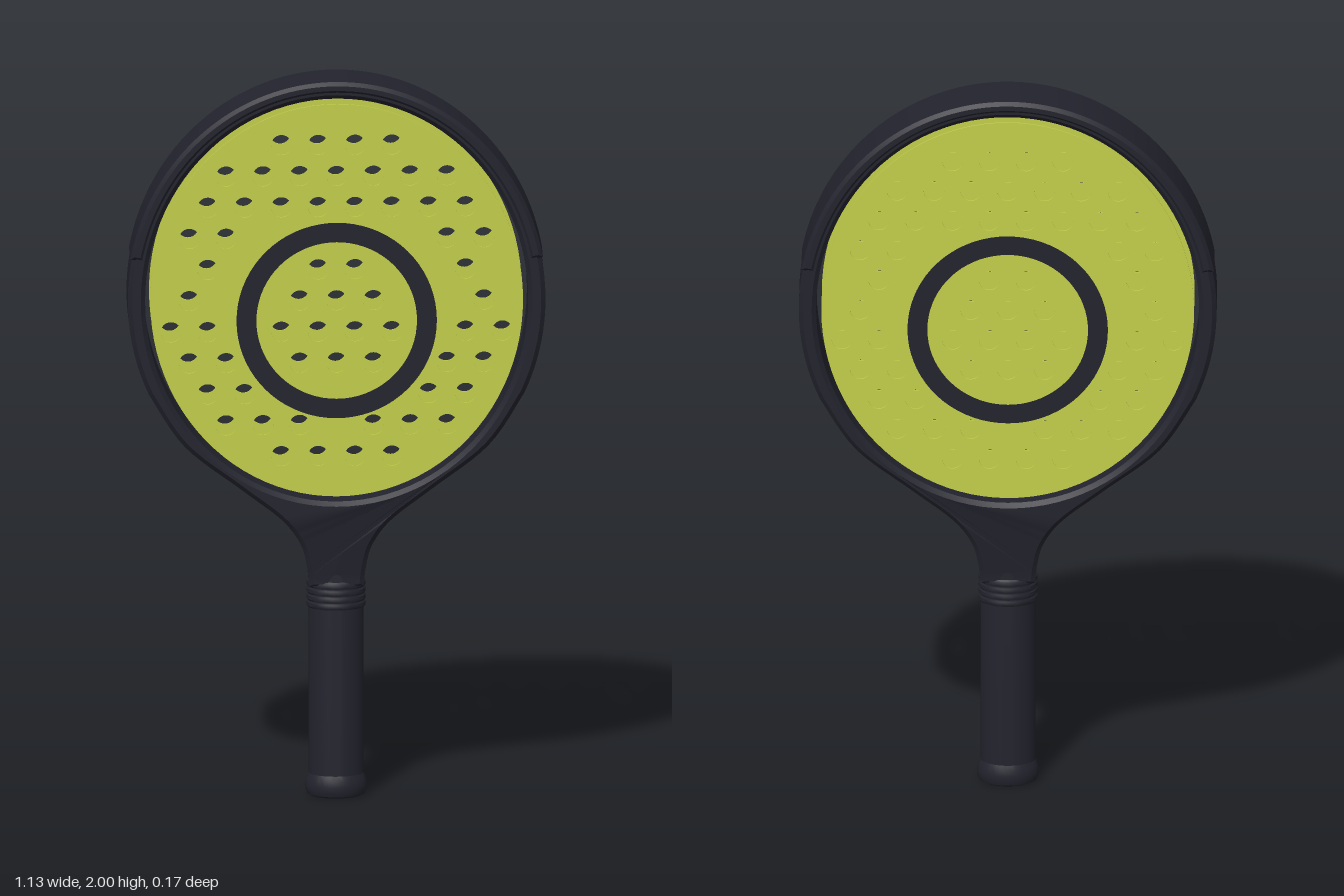
import * as THREE from 'three';
import { toCreasedNormals } from 'three/addons/utils/BufferGeometryUtils.js';

const CY = 1.391; // centre height of the head

export function createModel() {
  const dark = new THREE.MeshStandardMaterial({ color: 0x23232e });
  dark.name = 'charcoal';
  const lime = new THREE.MeshStandardMaterial({ color: 0xc3d04b });
  lime.name = 'lime';
  const white = new THREE.MeshStandardMaterial({ color: 0xe6e6e6, side: THREE.BackSide });
  white.name = 'white';

  const model = new THREE.Group();
  model.name = 'paddle';
  const add = (name, geometry, material, parent = model) => {
    const mesh = new THREE.Mesh(geometry, material);
    mesh.name = name;
    parent.add(mesh);
    return mesh;
  };

  // Points along an ellipse around the head centre
  const arc = (rx, ry, from, to, n) => Array.from({ length: n + 1 }, (_, i) => {
    const a = from + (to - from) * i / n;
    return new THREE.Vector2(rx * Math.cos(a), CY + ry * Math.sin(a));
  });
  const oval = (rx, ry, n = 96) => arc(rx, ry, 0, Math.PI * 2, n).slice(0, -1);

  // Bevelled slab centred on z = 0
  const slab = (shape, half, bevel) => {
    const g = new THREE.ExtrudeGeometry(shape, {
      depth: 2 * (half - bevel), bevelThickness: bevel, bevelSize: bevel,
      bevelOffset: -bevel, bevelSegments: 1, curveSegments: 24,
    });
    return g.translate(0, 0, bevel - half);
  };

  // Frame: oval rim flowing into the throat, thinner towards the grip
  const throat = new THREE.SplineCurve([
    [0.074, 0.59], [0.08, 0.645], [0.098, 0.71], [0.15, 0.78],
    [0.26, 0.865], [0.413, 0.985], [0.51, 1.131],
  ].map(([x, y]) => new THREE.Vector2(x, y))).getPoints(36);
  const startAngle = -0.452;
  const outline = [
    ...throat.slice(0, -1),
    ...arc(0.567, 0.595, startAngle, Math.PI - startAngle, 80),
    ...throat.slice(0, -1).reverse().map(p => new THREE.Vector2(-p.x, p.y)),
  ];
  const frameShape = new THREE.Shape(outline);
  frameShape.holes.push(new THREE.Path(oval(0.52, 0.561).reverse()));
  const frameGeo = slab(frameShape, 0.08, 0.012);
  const pos = frameGeo.attributes.position;
  for (let i = 0; i < pos.count; i++) {
    const t = THREE.MathUtils.clamp((0.78 - pos.getY(i)) / 0.17, 0, 1);
    pos.setZ(i, pos.getZ(i) * (1 - 0.28 * t));
  }
  add('frame', toCreasedNormals(frameGeo, 0.5), dark);

  // Edge guard over the top of the rim
  const end = 0.195;
  const guard = new THREE.Shape([
    ...arc(0.571, 0.609, end, Math.PI - end, 72),
    ...arc(0.535, 0.576, Math.PI - end, end, 72),
  ]);
  add('edgeGuard', toCreasedNormals(slab(guard, 0.086, 0.01), 0.5), dark);

  // Rows of holes: index from the head centre, then x on the right half
  const pitch = 0.0866;
  const rows = [
    [5, [0.05, 0.15]], [4, [0, 0.1, 0.2, 0.3]], [3, [0.05, 0.15, 0.25, 0.35]],
    [2, [0.3, 0.4]], [1, [0.05, 0.35]], [0, [0, 0.1, 0.4]],
    [-1, [0.05, 0.15, 0.35, 0.45]], [-2, [0, 0.1, 0.3, 0.4]],
    [-3, [0.25, 0.35]], [-4, [0.1, 0.2, 0.3]], [-5, [0.05, 0.15]],
  ];
  const faceShape = new THREE.Shape(oval(0.506, 0.546));
  for (const [row, xs] of rows) {
    for (const x of xs) {
      for (const s of x ? [1, -1] : [1]) {
        faceShape.holes.push(new THREE.Path().absarc(s * x, CY + row * pitch, 0.028, 0, Math.PI * 2, true));
      }
    }
  }
  const faceGeo = new THREE.ExtrudeGeometry(faceShape, { depth: 0.004, bevelEnabled: false, curveSegments: 20 });
  const ringGeo = new THREE.RingGeometry(0.218, 0.272, 72);

  // Perforated hitting faces with a painted ring, front and back
  for (const [name, turn] of [['frontFace', 0], ['backFace', Math.PI]]) {
    const side = new THREE.Group();
    side.name = name;
    side.rotation.y = turn;
    add('perforatedPanel', faceGeo, lime, side).position.z = 0.067;
    add('paintedRing', ringGeo, dark, side).position.set(0, 1.335, 0.0725);
    model.add(side);
  }

  // Pale lining inside the hollow head
  const lining = new THREE.CylinderGeometry(1, 1, 0.134, 96, 1, true);
  lining.rotateX(Math.PI / 2).scale(0.505, 0.545, 1).translate(0, CY, 0);
  add('innerLining', lining, white);

  // Oval turned parts of the handle
  const turned = (name, profile) => {
    const g = new THREE.LatheGeometry(profile.map(([r, y]) => new THREE.Vector2(r, y)), 48);
    add(name, toCreasedNormals(g.scale(1, 1, 0.82), 0.6), dark);
  };
  turned('grip', [[0, 0.04], [0.075, 0.04], [0.075, 0.58], [0.072, 0.63], [0, 0.63]]);
  turned('buttCap', [
    [0, 0], [0.068, 0], [0.078, 0.005], [0.083, 0.016], [0.084, 0.032],
    [0.081, 0.048], [0.075, 0.062], [0.07, 0.064],
  ]);

  // Ridged collar at the top of the grip
  const ridges = [[0.07, 0.525]];
  for (let i = 0; i < 4; i++) {
    const y = 0.525 + i * 0.019;
    ridges.push([0.077, y], [0.08, y + 0.004], [0.08, y + 0.014], [0.077, y + 0.018]);
  }
  ridges.push([0.068, 0.605]);
  turned('collar', ridges);

  return model;
}
